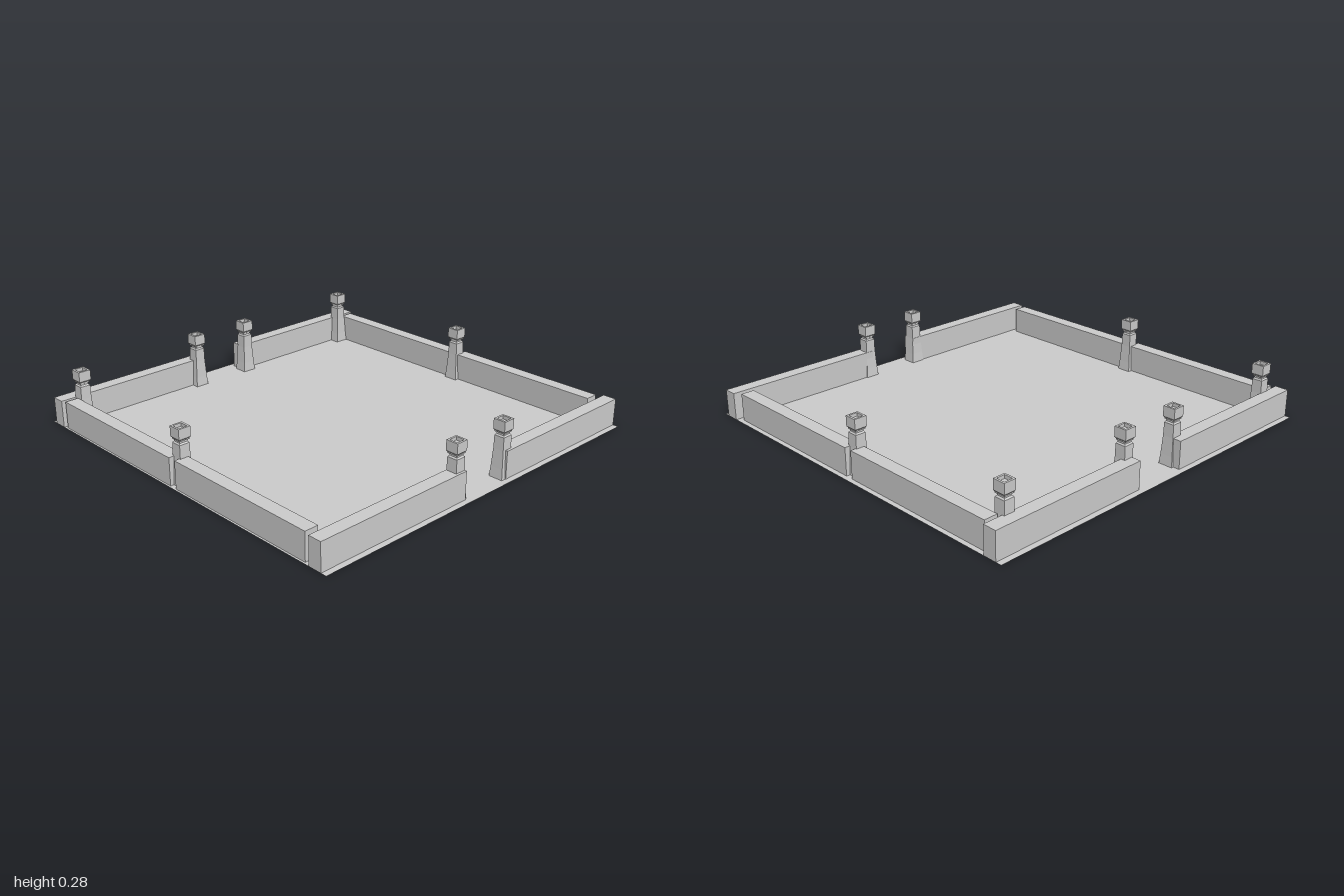
import * as THREE from 'three';

const grey = new THREE.MeshStandardMaterial({ color: 0xcccccc, flatShading: true, side: THREE.DoubleSide });
const WALL_HEIGHT = 0.14;

// Half-width and height of the square post, from its flared foot to the sunken top of the cap
const POST_PROFILE = [
  [0, 0], [0.037, 0], [0.033, 0.05], [0.028, 0.14], [0.027, 0.205],
  [0.021, 0.212], [0.021, 0.219], [0.027, 0.222], [0.027, 0.228],
  [0.032, 0.234], [0.032, 0.285], [0.022, 0.285], [0.022, 0.268], [0, 0.268],
];

// Wall box given by its extents on the ground
function addWall(group, name, x0, x1, z0, z1) {
  const wall = new THREE.Mesh(new THREE.BoxGeometry(x1 - x0, WALL_HEIGHT, z1 - z0), grey);
  wall.position.set((x0 + x1) / 2, WALL_HEIGHT / 2, (z0 + z1) / 2);
  wall.name = name;
  group.add(wall);
}

export function createModel() {
  const group = new THREE.Group();
  group.name = 'walledCourtyard';

  // Thin ground sheet
  const ground = new THREE.Mesh(new THREE.PlaneGeometry(2, 2), grey);
  ground.rotation.x = -Math.PI / 2;
  ground.name = 'ground';
  group.add(ground);

  // Front and back walls, each with a gateway in the middle
  for (const [side, z0, z1] of [['front', 0.9, 0.97], ['back', -0.97, -0.9]]) {
    addWall(group, side + 'WallRight', -1, -0.14, z0, z1);
    addWall(group, side + 'WallLeft', 0.14, 1, z0, z1);
  }

  // Side walls, each split by a narrow slot at the middle post
  for (const [side, x0, x1] of [['right', -0.99, -0.92], ['left', 0.905, 0.975]]) {
    addWall(group, side + 'WallBack', x0, x1, -0.88, -0.02);
    addWall(group, side + 'WallFront', x0, x1, 0.02, 0.87);
  }

  // Square posts with capped tops
  const postGeometry = new THREE.LatheGeometry(
    POST_PROFILE.map(([half, y]) => new THREE.Vector2(half * Math.SQRT2, y)), 4, Math.PI / 4);
  const posts = {
    frontGatePostRight: [-0.168, 0.93],
    frontGatePostLeft: [0.152, 0.93],
    backGatePostRight: [-0.165, -0.9],
    backGatePostLeft: [0.16, -0.893],
    backCornerPostRight: [-0.89, -0.876],
    backCornerPostLeft: [0.87, -0.884],
    middlePostRight: [-0.935, 0],
    middlePostLeft: [0.92, 0],
  };
  for (const [name, [x, z]] of Object.entries(posts)) {
    const post = new THREE.Mesh(postGeometry, grey);
    post.position.set(x, 0, z);
    post.name = name;
    group.add(post);
  }

  return group;
}
